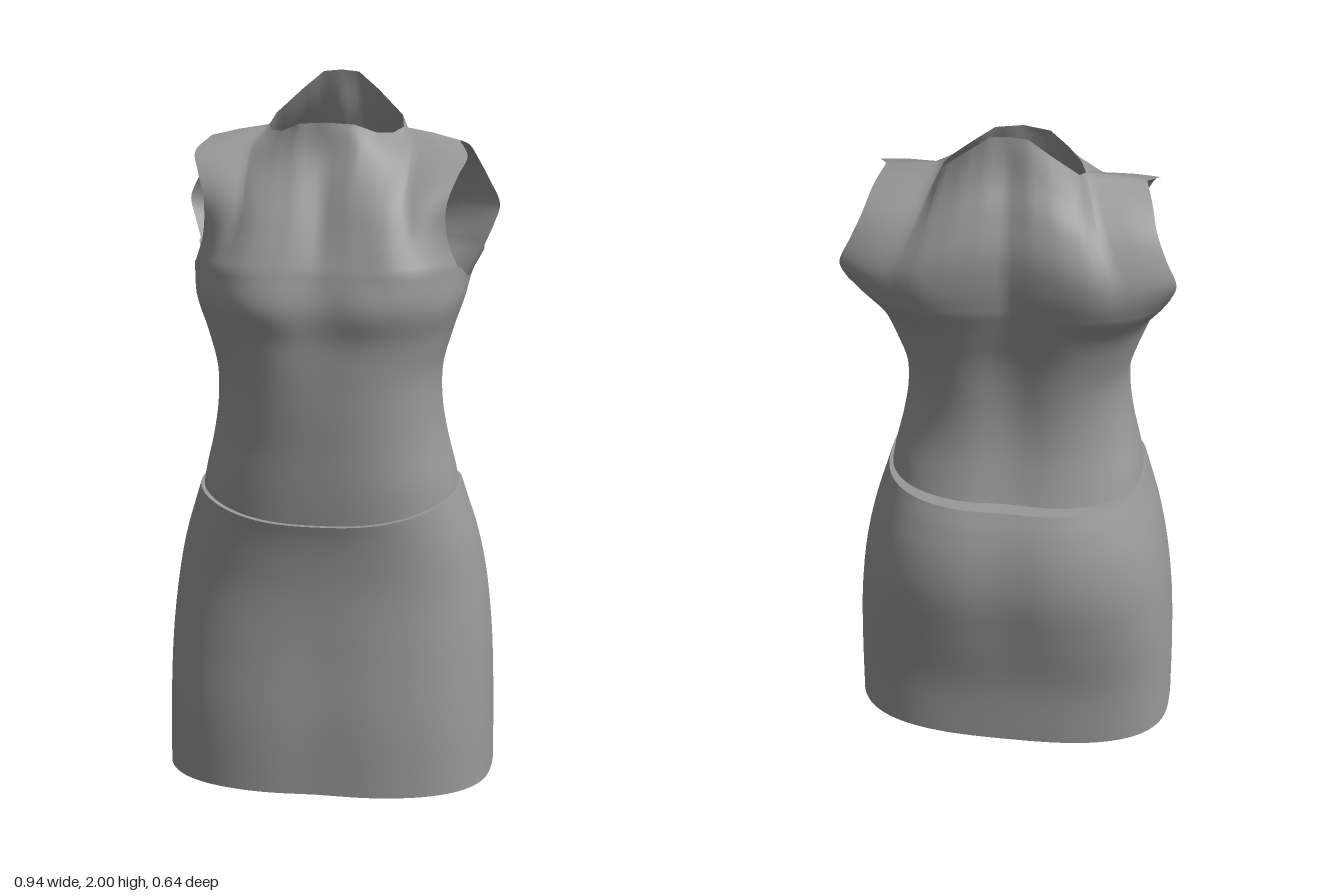
import * as THREE from 'three';
import { mergeGeometries, mergeVertices } from 'three/addons/utils/BufferGeometryUtils.js';

const V = (x, y, z) => new THREE.Vector3(x, y, z);
const curve = (pts) => new THREE.CatmullRomCurve3(pts.map((p) => V(...p)));
const AROUND = 72; // samples from centre front, round the side, to centre back

// Half cross-section: y, half width, front z, back z, side z, squareness,
// centre-front dip, spine groove, drop of the edge at the front
function section([y, w, zf, zb, c, n, dipF = 0, dipB = 0, drop = 0]) {
  return (u) => {
    const a = Math.PI * u;
    const s = Math.max(0, Math.sin(a)), k = Math.cos(a);
    const x = u === 0 || u === 1 ? 0 : w * Math.pow(s, 2 / n);
    const depth = Math.pow(Math.abs(k), 2 / n);
    const bump = Math.exp(-((x / 0.1) ** 2));
    const z = k > 0
      ? c + (zf - c) * depth - dipF * bump
      : c + (zb - c) * depth + dipB * bump;
    return V(x, k > 0 ? y - drop * k * k : y, z);
  };
}

// Grid surface from f(s, t), with its mirror image across x = 0
function halfGrid(f, ns, nt, flip) {
  const sides = [1, -1].map((m) => {
    const pos = [], idx = [];
    for (let j = 0; j <= nt; j++) {
      for (let i = 0; i <= ns; i++) {
        const p = f(i / ns, j / nt);
        pos.push(m * p.x, p.y, p.z);
      }
    }
    for (let j = 0; j < nt; j++) {
      for (let i = 0; i < ns; i++) {
        const a = j * (ns + 1) + i, b = a + 1, c = a + ns + 1, d = c + 1;
        if ((m > 0) !== flip) idx.push(a, b, d, a, d, c);
        else idx.push(a, d, b, a, c, d);
      }
    }
    const g = new THREE.BufferGeometry();
    g.setAttribute('position', new THREE.Float32BufferAttribute(pos, 3));
    g.setIndex(idx);
    return g;
  });
  return mergeGeometries(sides);
}

// Smooth skin through a stack of half rings
function loft(rings, nt) {
  const columns = [];
  for (let i = 0; i <= AROUND; i++) {
    columns.push(new THREE.CatmullRomCurve3(rings.map((r) => r(i / AROUND))));
  }
  return halfGrid((s, t) => columns[Math.round(s * AROUND)].getPoint(t), AROUND, nt, false);
}

// Patch filling four boundary curves
function coons(bottom, top, centre, side, flip) {
  const b0 = bottom(0), b1 = bottom(1), t0 = top(0), t1 = top(1);
  return halfGrid((s, t) => {
    const p = V(0, 0, 0);
    p.addScaledVector(bottom(s), 1 - t).addScaledVector(top(s), t);
    p.addScaledVector(centre.getPoint(t), 1 - s).addScaledVector(side.getPoint(t), s);
    p.addScaledVector(b0, -(1 - s) * (1 - t)).addScaledVector(b1, -s * (1 - t));
    return p.addScaledVector(t0, -(1 - s) * t).addScaledVector(t1, -s * t);
  }, 24, 28, flip);
}

// Straight-segment edge, used for the uneven neckline
function polyline(pts) {
  return (s) => {
    const f = s * (pts.length - 1), i = Math.min(pts.length - 2, Math.floor(f));
    return V(...pts[i]).lerp(V(...pts[i + 1]), f - i);
  };
}

function weld(parts) {
  const g = mergeVertices(mergeGeometries(parts), 1e-4);
  g.computeVertexNormals();
  return g;
}

export function createModel() {
  const group = new THREE.Group();
  const fabric = new THREE.MeshStandardMaterial({ color: 0x999999, side: THREE.DoubleSide });
  fabric.name = 'grey fabric';
  const add = (name, geometry) => {
    const mesh = new THREE.Mesh(geometry, fabric);
    mesh.name = name;
    group.add(mesh);
  };

  // Skirt, open at the hem
  const waistEdge = section([0.85, 0.372, 0.308, -0.262, 0.02, 2.6, 0, 0.008, 0.06]);
  add('skirt', weld([loft([
    [0, 0.472, 0.325, -0.26, 0, 2.8, 0.008],
    [0.2, 0.47, 0.318, -0.267, 0, 2.8, 0.008],
    [0.4, 0.462, 0.3, -0.303, 0, 2.7, 0.005, 0.008],
    [0.58, 0.442, 0.288, -0.33, 0, 2.6, 0, 0.012],
    [0.7, 0.417, 0.292, -0.32, 0.01, 2.6, 0, 0.012, 0.02],
    [0.79, 0.39, 0.3, -0.292, 0.02, 2.6, 0, 0.01, 0.04],
  ].map(section).concat(waistEdge), 36)]));

  // Narrow ledge where the skirt meets the bodice
  add('skirtWaistLedge', weld([loft([
    waistEdge,
    section([0.85, 0.358, 0.292, -0.215, 0.02, 2.6, 0, 0.012, 0.06]),
  ], 1)]));

  // Upper rim of the lower bodice: level front and back, dipping under the arm
  const rim = curve([
    [0, 1.5, 0.28], [0.12, 1.5, 0.295], [0.215, 1.5, 0.29], [0.305, 1.5, 0.235],
    [0.365, 1.5, 0.135], [0.383, 1.465, 0.06], [0.385, 1.45, -0.02], [0.392, 1.465, -0.09],
    [0.412, 1.51, -0.16], [0.345, 1.505, -0.22], [0.22, 1.5, -0.255], [0.11, 1.5, -0.25],
    [0, 1.5, -0.23],
  ]);

  const lowerBodice = loft([
    [0.77, 0.372, 0.288, -0.25, 0.02, 2.6, 0, 0.01, 0.03],
    [0.88, 0.358, 0.298, -0.212, 0.02, 2.5, 0, 0.014],
    [1.0, 0.331, 0.302, -0.183, 0.03, 2.4, 0, 0.02],
    [1.1, 0.316, 0.306, -0.176, 0.04, 2.4, 0, 0.025],
    [1.2, 0.317, 0.31, -0.182, 0.04, 2.4, 0.004, 0.028],
    [1.3, 0.343, 0.315, -0.195, 0.03, 2.5, 0.012, 0.025],
    [1.4, 0.376, 0.335, -0.222, 0.01, 2.6, 0.028, 0.022],
  ].map(section).concat((u) => rim.getPoint(u)), 44);

  // Front and back panels between the armholes, meeting along the shoulders
  const shoulder = [[0.19, 1.855, -0.06], [0.27, 1.843, -0.045], [0.35, 1.825, -0.03]];
  const frontPanel = coons(
    (s) => rim.getPoint(s * 4 / 12),
    polyline([[0, 1.885, 0.12], [0.075, 1.88, 0.108], [0.13, 1.855, 0.07], [0.17, 1.848, 0.01], ...shoulder]),
    curve([[0, 1.5, 0.28], [0, 1.6, 0.225], [0, 1.7, 0.175], [0, 1.8, 0.132], [0, 1.885, 0.12]]),
    curve([[0.365, 1.5, 0.135], [0.338, 1.58, 0.163], [0.335, 1.67, 0.165], [0.36, 1.745, 0.12],
      [0.38, 1.79, 0.055], [0.35, 1.825, -0.03]]),
    false);
  const backPanel = coons(
    (s) => rim.getPoint(1 - s * 4 / 12),
    polyline([[0, 2, -0.16], [0.05, 1.995, -0.16], [0.11, 1.945, -0.15], [0.18, 1.88, -0.122], ...shoulder]),
    curve([[0, 1.5, -0.23], [0, 1.6, -0.245], [0, 1.7, -0.245], [0, 1.8, -0.213], [0, 1.89, -0.175], [0, 2, -0.16]]),
    curve([[0.412, 1.51, -0.16], [0.437, 1.57, -0.197], [0.45, 1.62, -0.212], [0.42, 1.69, -0.205],
      [0.392, 1.75, -0.175], [0.372, 1.8, -0.11], [0.35, 1.825, -0.03]]),
    true);
  add('bodice', weld([lowerBodice, frontPanel, backPanel]));

  return group;
}
